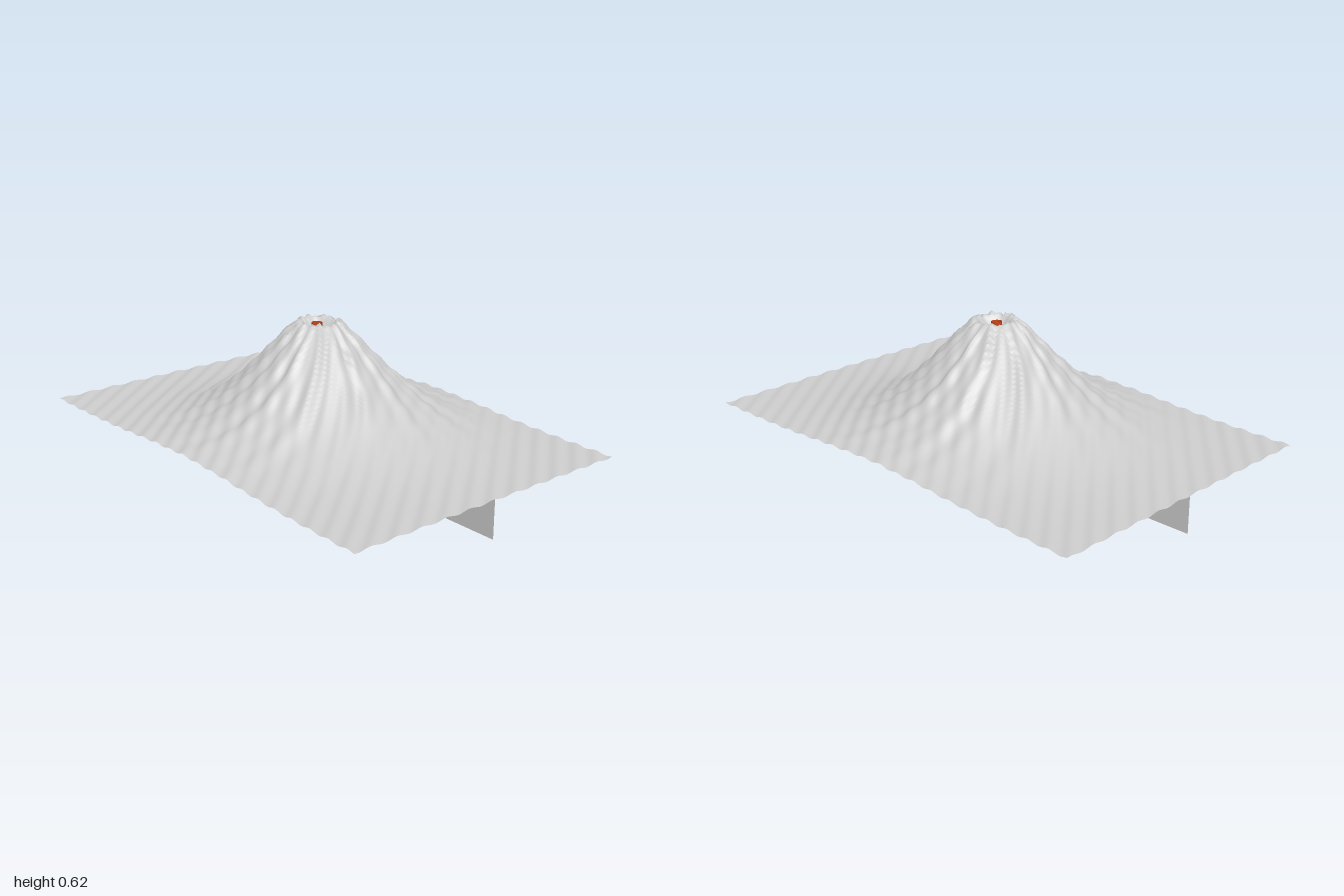
import * as THREE from 'three';

const HALF_X = 1, HALF_Z = 0.667;
const grey = new THREE.MeshStandardMaterial({ color: 0xcccccc, side: THREE.DoubleSide });
const magma = new THREE.MeshStandardMaterial({ color: 0xc4461a, side: THREE.DoubleSide });

// Ground height: bell-shaped cone, small crater, twisted gullies, diagonal ripples
function height(x, z) {
  const r = Math.hypot(x, z);
  const a = Math.atan2(z, x) - 1.0 * r;
  let y = 0.153 + 0.5 * Math.exp(-Math.pow(r / 0.363, 1.62));
  const crater = 0.56 + 0.05 * THREE.MathUtils.smoothstep(r, 0.03, 0.085);
  if (r < 0.1) y = Math.min(y, crater);
  const gullies = 0.6 * Math.sin(16 * a) + 0.4 * Math.sin(27 * a + 1.3);
  const reach = THREE.MathUtils.smoothstep(r, 0.03, 0.1) * Math.exp(-Math.pow(r / 0.52, 3));
  return y + 0.014 * gullies * reach + 0.004 * Math.sin(65 * x - 54 * z);
}

function add(group, name, geometry, material) {
  const mesh = new THREE.Mesh(geometry, material);
  mesh.name = name;
  group.add(mesh);
  return mesh;
}

export function createModel() {
  const model = new THREE.Group();
  model.name = 'volcanoSection';

  // Open terrain sheet
  const terrain = new THREE.PlaneGeometry(2 * HALF_X, 2 * HALF_Z, 180, 120);
  terrain.rotateX(-Math.PI / 2);
  const p = terrain.attributes.position;
  for (let i = 0; i < p.count; i++) p.setY(i, height(p.getX(i), p.getZ(i)));
  terrain.computeVertexNormals();
  add(model, 'terrain', terrain, grey);

  // Flat vertical cut through the middle, its top following the ground
  const outline = new THREE.Shape();
  outline.moveTo(-HALF_X, 0);
  outline.lineTo(HALF_X, 0);
  for (let i = 180; i >= 0; i--) {
    const x = -HALF_X + (2 * HALF_X * i) / 180;
    outline.lineTo(x, height(x, 0) - 0.001);
  }
  add(model, 'sectionWall', new THREE.ShapeGeometry(outline), grey);

  // Flattened magma chamber
  const chamber = add(model, 'magmaChamber', new THREE.SphereGeometry(1, 40, 24), magma);
  chamber.scale.set(0.12, 0.06, 0.016);
  chamber.position.set(0.055, 0.06, 0);

  // Open, gently bent conduit up to the crater
  const path = new THREE.CatmullRomCurve3([
    [0.055, 0.06], [0.04, 0.15], [0.015, 0.28], [-0.01, 0.42], [-0.008, 0.52], [-0.005, 0.6],
  ].map(([x, y]) => new THREE.Vector3(x, y, 0)));
  add(model, 'conduit', new THREE.TubeGeometry(path, 48, 0.022, 20, false), magma);

  return model;
}
